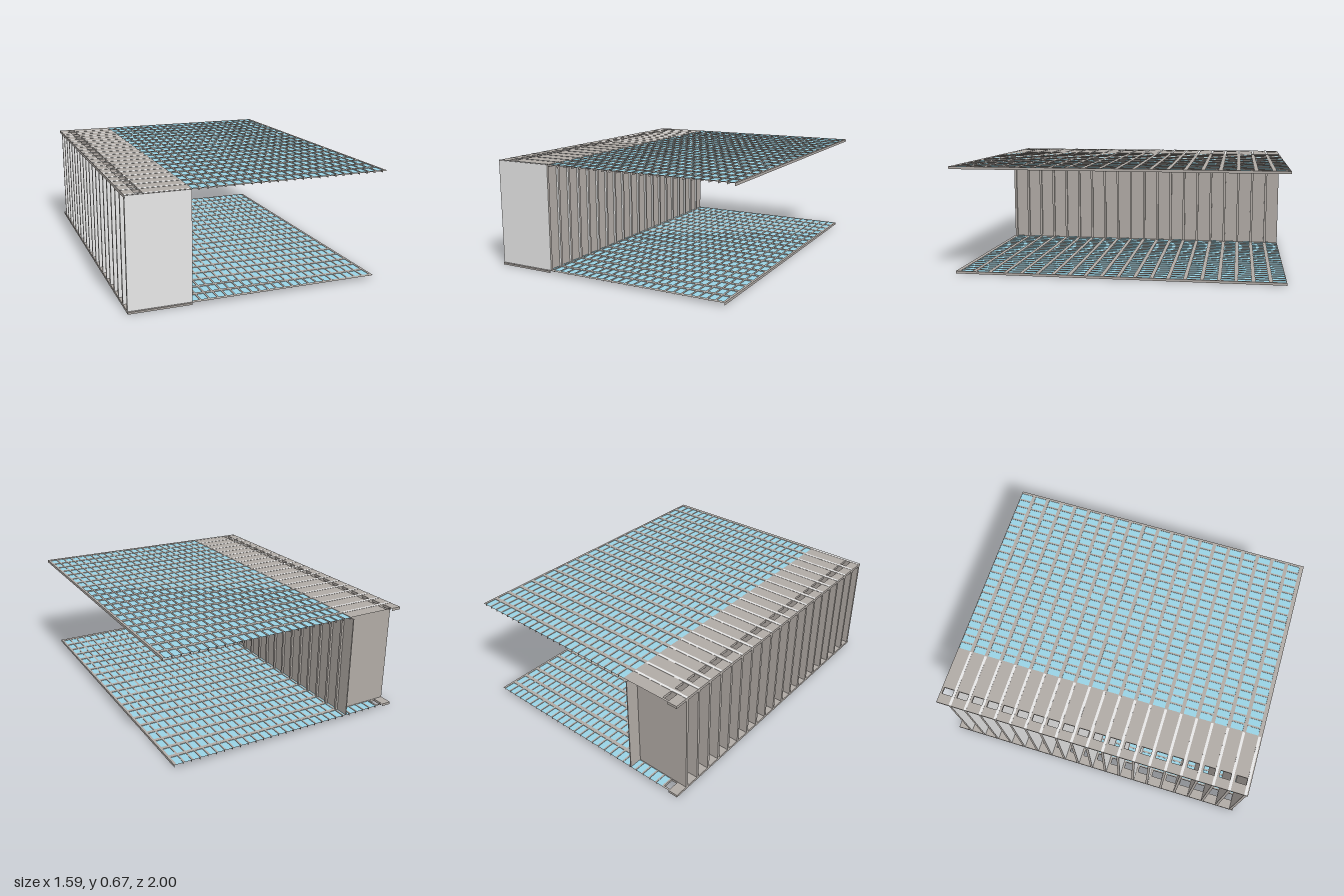
import * as THREE from 'three';

const brown = new THREE.MeshStandardMaterial({ name: 'warmGrey', color: 0xb0aaa5 });
const blue = new THREE.MeshStandardMaterial({ name: 'paleBlue', color: 0x98d2e4 });
const light = new THREE.MeshStandardMaterial({ name: 'lightGrey', color: 0xe6e6e6 });

// Shared grid: columns run along x, rows along z
const ROWS = 20, ROW_PITCH = 0.0997;
const COL_PITCH = 0.0526, FIRST_COL = -0.735, CELL_W = 0.042;
const X0 = -0.797, BLOCK_X = -0.428, PANE_INSET = 0.003;
const colStart = (c) => FIRST_COL + c * COL_PITCH;
// Open slots in column 0 are a little shorter than the glazed cells
const rowStart = (c, r) => (c === 0 ? -0.987 : -0.997) + r * ROW_PITCH;
const rowEnd = (r) => -0.92 + r * ROW_PITCH;

// Collects flat four-cornered faces into one geometry
class Quads {
  constructor() { this.p = []; }
  add(a, b, c, d) { this.p.push(...a, ...b, ...c, ...a, ...c, ...d); }
  up(x0, x1, z0, z1, y) { this.add([x0, y, z1], [x1, y, z1], [x1, y, z0], [x0, y, z0]); }
  down(x0, x1, z0, z1, y) { this.add([x0, y, z0], [x1, y, z0], [x1, y, z1], [x0, y, z1]); }
  front(x0, x1, y0, y1, z) { this.add([x0, y0, z], [x1, y0, z], [x1, y1, z], [x0, y1, z]); }
  back(x0, x1, y0, y1, z) { this.add([x1, y0, z], [x0, y0, z], [x0, y1, z], [x1, y1, z]); }
  right(z0, z1, y0, y1, x) { this.add([x, y0, z1], [x, y0, z0], [x, y1, z0], [x, y1, z1]); }
  left(z0, z1, y0, y1, x) { this.add([x, y0, z0], [x, y0, z1], [x, y1, z1], [x, y1, z0]); }
  mesh(name, material) {
    const g = new THREE.BufferGeometry();
    g.setAttribute('position', new THREE.Float32BufferAttribute(this.p, 3));
    g.computeVertexNormals();
    const m = new THREE.Mesh(g, material);
    m.name = name;
    return m;
  }
}

// Perforated slab: open slots in column 0, blue panes in the cells of the other columns
function makeDeck(name, y0, y1, xEnd, columns) {
  const deck = new THREE.Group();
  deck.name = name;
  const lattice = new Quads(), panes = new Quads();

  // Solid areas around the holes, above and below
  const solid = (xa, xb, za, zb) => {
    lattice.up(xa, xb, za, zb, y1);
    lattice.down(xa, xb, za, zb, y0);
  };
  let x = X0;
  for (const c of columns) {
    const a = colStart(c), b = a + CELL_W;
    solid(x, a, -1, 1);
    let z = -1;
    for (let r = 0; r < ROWS; r++) {
      const s = rowStart(c, r), e = rowEnd(r);
      solid(a, b, z, s);
      z = e;
      // Inner walls of the hole
      lattice.front(a, b, y0, y1, s);
      lattice.back(a, b, y0, y1, e);
      lattice.right(s, e, y0, y1, a);
      lattice.left(s, e, y0, y1, b);
      // Pane, seen from both sides
      if (c > 0) {
        panes.up(a, b, s, e, y1 - PANE_INSET);
        panes.down(a, b, s, e, y0 + PANE_INSET);
      }
    }
    solid(a, b, z, 1);
    x = b;
  }
  solid(x, xEnd, -1, 1);

  // Outer edges
  lattice.left(-1, 1, y0, y1, X0);
  lattice.right(-1, 1, y0, y1, xEnd);
  lattice.back(X0, colStart(0), y0, y1, -1);
  deck.add(lattice.mesh(name + 'Lattice', brown), panes.mesh(name + 'Panes', blue));
  return deck;
}

function box(name, material, x0, x1, y0, y1, z0, z1) {
  const m = new THREE.Mesh(new THREE.BoxGeometry(x1 - x0, y1 - y0, z1 - z0), material);
  m.position.set((x0 + x1) / 2, (y0 + y1) / 2, (z0 + z1) / 2);
  m.name = name;
  return m;
}

export function createModel() {
  const model = new THREE.Group();
  model.name = 'twoDeckBlock';
  const range = (from, to) => Array.from({ length: to - from + 1 }, (_, i) => from + i);

  // Floor and roof
  model.add(makeDeck('floor', 0, 0.015, 0.742, range(0, 27)));
  model.add(makeDeck('roof', 0.65, 0.666, 0.795, [0, ...range(6, 28)]));
  model.add(box('floorFrontEdge', brown, X0, BLOCK_X, 0.001, 0.012, 0.994, 0.999));

  // One slot is closed
  model.add(box('slotCover', brown, colStart(0), colStart(0) + CELL_W, 0.002, 0.006, rowStart(0, 4), rowEnd(4)));

  // Partition walls, light on the front and top
  const faces = [brown, brown, light, brown, light, brown];
  const walls = new THREE.Group();
  walls.name = 'partitionWalls';
  for (let r = 0; r < ROWS; r++) {
    const z = -0.91 + r * ROW_PITCH;
    walls.add(box('partitionWall', faces, X0, BLOCK_X + 0.003, 0.012, 0.6675, z - 0.008, z + 0.008));
    // Recessed panel closing the bay on its inner side
    walls.add(box('bayPanel', brown, BLOCK_X - 0.016, BLOCK_X - 0.01, 0.015, 0.65, Math.max(-1, z - 0.092), z - 0.008));
  }
  model.add(walls);
  return model;
}
